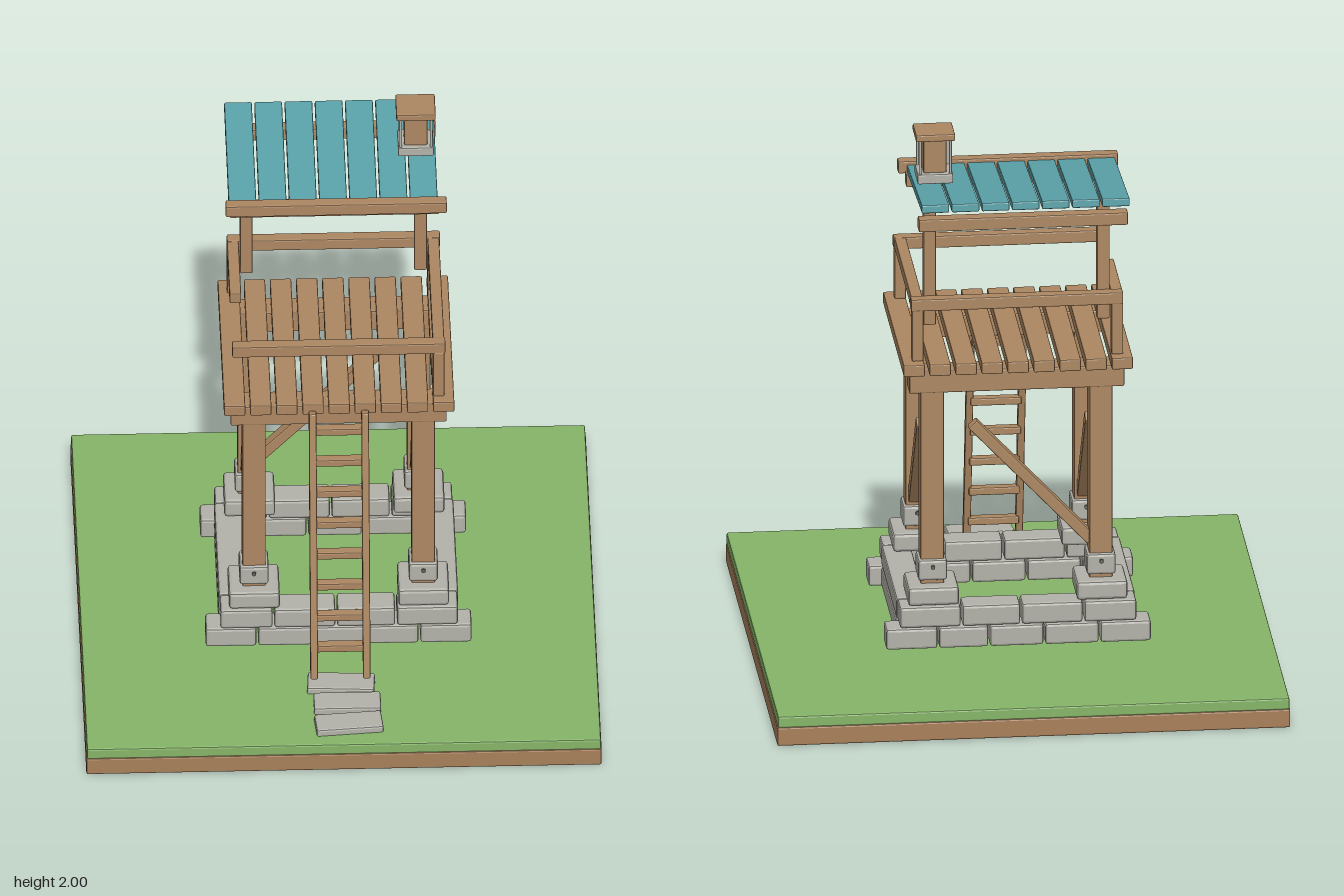
import * as THREE from 'three';
import { RoundedBoxGeometry } from 'three/addons/geometries/RoundedBoxGeometry.js';

const mat = (name, color) => {
  const m = new THREE.MeshStandardMaterial({ color });
  m.name = name;
  return m;
};

export function createModel() {
  const model = new THREE.Group();
  model.name = 'watchtower';
  const wood = mat('wood', 0xad8862);
  const stone = mat('stone', 0xb3b2aa);
  const teal = mat('teal paint', 0x5aa3aa);
  const grass = mat('grass', 0x86b568);
  const earth = mat('earth', 0xa8805a);
  const iron = mat('iron', 0x6a6662);

  const group = (name) => {
    const g = new THREE.Group();
    g.name = name;
    model.add(g);
    return g;
  };

  // Chamfered block given by its centre and size
  const block = (parent, name, m, [x, y, z], [w, h, d], bevel = 0.005) => {
    const geo = new RoundedBoxGeometry(w, h, d, 1, Math.min(bevel, w / 4, h / 4, d / 4));
    geo.computeVertexNormals();
    const mesh = new THREE.Mesh(geo, m);
    mesh.name = name;
    mesh.position.set(x, y, z);
    parent.add(mesh);
    return mesh;
  };

  // Square timber running between two points
  const timber = (parent, name, a, b, w, d) => {
    const p = new THREE.Vector3(...a), q = new THREE.Vector3(...b);
    const dir = q.clone().sub(p);
    const mid = p.clone().add(q).multiplyScalar(0.5);
    const mesh = block(parent, name, wood, mid.toArray(), [w, dir.length(), d]);
    mesh.quaternion.setFromUnitVectors(new THREE.Vector3(0, 1, 0), dir.normalize());
    return mesh;
  };

  // Ground slab
  const ground = group('ground');
  block(ground, 'earthLayer', earth, [0, 0.034, 0], [1.765, 0.068, 1.765], 0.006);
  block(ground, 'grassLayer', grass, [0, 0.086, 0], [1.76, 0.042, 1.76], 0.006);

  // Stone foundation: two courses all round
  const foundation = group('foundation');
  const rows = [
    { y: 0.168, h: 0.076, cuts: [-0.46, -0.28, -0.09, 0.1, 0.275, 0.457] },
    { y: 0.246, h: 0.076, cuts: [-0.41, -0.225, -0.01, 0.195, 0.41] },
  ];
  for (const { y, h, cuts } of rows) {
    for (const s of [-1, 1]) {
      for (let i = 0; i < cuts.length - 1; i++) {
        const w = cuts[i + 1] - cuts[i];
        block(foundation, 'wallStone', stone, [cuts[i] + w / 2, y, s * 0.304], [w - 0.006, h, 0.097], 0.01);
      }
      block(foundation, 'sideWallStone', stone, [s * 0.36, y, 0], [0.1, h, 0.515], 0.01);
    }
  }

  // Corner posts on stone pads and sockets
  const frame = group('frame');
  for (const x of [-0.29, 0.29]) {
    for (const z of [-0.258, 0.258]) {
      block(foundation, 'padStone', stone, [x, 0.318, z], [0.175, 0.067, 0.172], 0.012);
      block(foundation, 'postSocket', stone, [x, 0.402, z], [0.1, 0.076, 0.106], 0.01);
      block(frame, 'post', wood, [x, 0.735, z], [0.08, 0.79, 0.08]);
      const bolt = new THREE.Mesh(new THREE.CylinderGeometry(0.008, 0.008, 0.12, 6), iron);
      bolt.name = 'bolt';
      bolt.rotation.x = Math.PI / 2;
      bolt.position.set(x, 0.415, z);
      frame.add(bolt);
    }
  }
  for (const z of [-0.26, 0.26]) {
    block(frame, 'crossBeam', wood, [0, 1.09, z], [0.74, 0.08, 0.087]);
  }

  // Diagonal braces
  timber(frame, 'backBrace', [-0.26, 0.48, -0.26], [0.15, 0.92, -0.26], 0.04, 0.04);
  for (const x of [-0.29, 0.29]) {
    for (const s of [-1, 1]) {
      timber(frame, 'sideBrace', [x + s * 0.012, 0.46, s * 0.235], [x + s * 0.012, 0.845, -s * 0.04], 0.036, 0.042);
    }
  }

  // Platform planks
  const platform = group('platform');
  for (let i = 0; i < 9; i++) {
    block(platform, 'floorPlank', wood, [-0.358 + i * 0.0895, 1.153, 0], [0.073, 0.043, 0.71]);
  }

  // Railing, with the front left corner left open
  const railing = group('railing');
  for (const [x, z] of [[0.342, 0.3], [0.342, -0.296], [-0.345, -0.296]]) {
    block(railing, 'railPost', wood, [x, 1.268, z], [0.04, 0.19, 0.04]);
  }
  block(railing, 'frontRail', wood, [0, 1.378, 0.298], [0.73, 0.044, 0.042]);
  block(railing, 'backRail', wood, [0, 1.378, -0.296], [0.73, 0.044, 0.042]);
  block(railing, 'rightRail', wood, [0.342, 1.377, 0], [0.04, 0.042, 0.63]);
  block(railing, 'leftRail', wood, [-0.345, 1.377, -0.15], [0.04, 0.042, 0.33]);

  // Roof
  const roof = group('roof');
  for (const x of [-0.3, 0.297]) {
    block(roof, 'roofPost', wood, [x, 1.52, -0.256], [0.044, 0.46, 0.042]);
  }
  block(roof, 'roofFascia', wood, [0, 1.767, 0.014], [0.757, 0.045, 0.042]);
  for (const z of [-0.028, -0.457]) {
    block(roof, 'roofBeam', wood, [-0.005, 1.733, z], [0.72, 0.046, 0.046]);
  }
  for (let i = 0; i < 7; i++) {
    const plank = block(roof, 'roofPlank', teal, [-0.32 + i * 0.1035, 1.784, -0.258], [0.095, 0.03, 0.51]);
    plank.rotation.x = 0.09;
  }

  // Rooftop lantern
  const lantern = group('lantern');
  block(lantern, 'lanternBase', stone, [0.28, 1.835, -0.248], [0.122, 0.036, 0.11]);
  block(lantern, 'lanternBody', wood, [0.28, 1.913, -0.248], [0.08, 0.124, 0.076]);
  block(lantern, 'lanternCap', wood, [0.28, 1.987, -0.248], [0.135, 0.026, 0.12]);
  for (const sx of [-1, 1]) {
    for (const sz of [-1, 1]) {
      block(lantern, 'lanternBar', stone, [0.28 + sx * 0.052, 1.913, -0.248 + sz * 0.046], [0.009, 0.124, 0.009], 0.002);
    }
  }

  // Ladder leaning on the front edge
  const ladder = group('ladder');
  for (const x of [-0.092, 0.088]) {
    timber(ladder, 'ladderRail', [x, 0.145, 0.553], [x, 1.155, 0.372], 0.026, 0.03);
  }
  for (let i = 0; i < 8; i++) {
    const y = 0.257 + i * 0.1177;
    block(ladder, 'rung', wood, [-0.002, y, 0.523 - (y - 0.257) * 0.179], [0.175, 0.028, 0.034]);
  }

  // Stepping stones
  const path = group('path');
  [[0.0, 0.553, -0.06], [0.018, 0.662, 0], [0.02, 0.776, 0.08]].forEach(([x, z, turn]) => {
    block(path, 'steppingStone', stone, [x, 0.117, z], [0.23, 0.03, 0.094], 0.007).rotation.y = turn;
  });

  return model;
}
